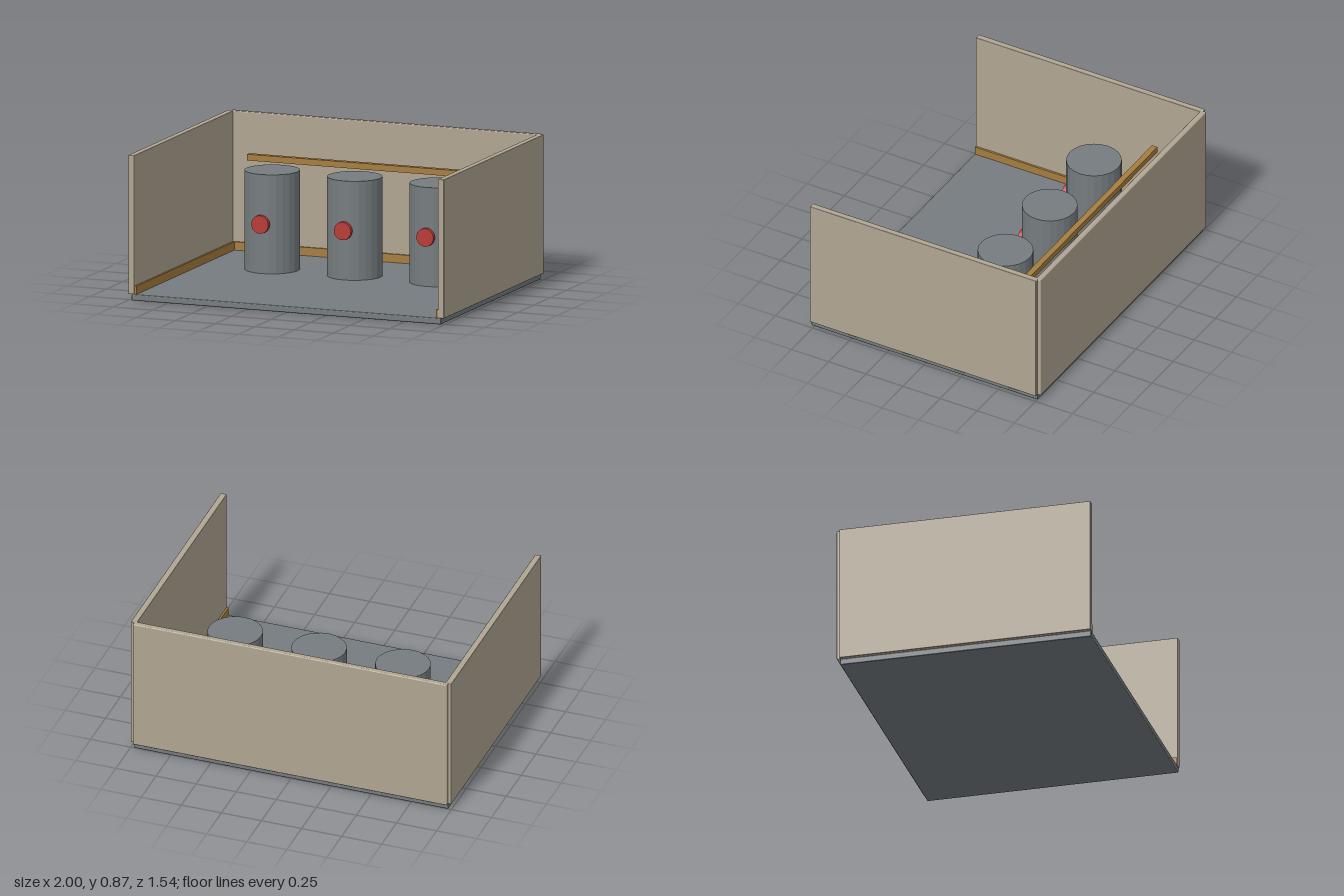
import * as THREE from 'three';
import { RoundedBoxGeometry } from 'three/addons/geometries/RoundedBoxGeometry.js';

export function createModel() {
  const model = new THREE.Group();
  model.name = 'tankRoom';

  const material = (name, color, flatShading = false) => {
    const m = new THREE.MeshStandardMaterial({ color, flatShading });
    m.name = name;
    return m;
  };
  const wallTan = material('wallTan', 0xb0a592);
  const steelGrey = material('steelGrey', 0x757c7f, true);
  const brassBrown = material('brassBrown', 0xa67d3e);
  const signalRed = material('signalRed', 0xb83a34);

  const add = (name, geometry, mat, x, y, z, parent = model) => {
    const mesh = new THREE.Mesh(geometry, mat);
    mesh.name = name;
    mesh.position.set(x, y, z);
    parent.add(mesh);
    return mesh;
  };
  // Box given by its limits on each axis, optionally with softened edges
  const slab = (name, mat, [x0, x1], [y0, y1], [z0, z1], radius = 0) => {
    const size = [x1 - x0, y1 - y0, z1 - z0];
    const geometry = radius
      ? new RoundedBoxGeometry(...size, 2, radius)
      : new THREE.BoxGeometry(...size);
    return add(name, geometry, mat, (x0 + x1) / 2, (y0 + y1) / 2, (z0 + z1) / 2);
  };

  // Floor and back wall
  slab('floor', steelGrey, [-0.98, 0.98], [0, 0.037], [-0.752, 0.77], 0.006);
  slab('backWall', wallTan, [-0.98, 0.98], [0.037, 0.865], [-0.774, -0.738], 0.006);
  slab('backSkirting', brassBrown, [-0.96, 0.96], [0.037, 0.087], [-0.738, -0.726]);

  // Side walls with their skirting
  for (const [side, s] of [['left', 1], ['right', -1]]) {
    const span = (a, b) => (s > 0 ? [a, b] : [-b, -a]);
    slab(side + 'Wall', wallTan, span(0.962, 1), [0.037, 0.865], [-0.752, 0.77], 0.004);
    slab(side + 'Skirting', brassBrown, span(0.95, 0.962), [0.037, 0.087], [-0.738, 0.768]);
  }

  // Pipe rail behind the tanks
  slab('rail', brassBrown, [-0.783, 0.783], [0.62, 0.657], [-0.556, -0.52]);

  // Three tanks, each with a round button on its front
  const tankGeometry = new THREE.CylinderGeometry(0.163, 0.163, 0.59, 24);
  const buttonGeometry = new THREE.CylinderGeometry(0.054, 0.054, 0.025, 24).rotateX(Math.PI / 2);
  for (const x of [-0.523, 0, 0.523]) {
    const unit = new THREE.Group();
    unit.name = 'tankUnit';
    unit.position.set(x, 0, -0.277);
    model.add(unit);
    add('tank', tankGeometry, steelGrey, 0, 0.332, 0, unit);
    add('button', buttonGeometry, signalRed, 0, 0.333, 0.178, unit);
  }

  return model;
}
